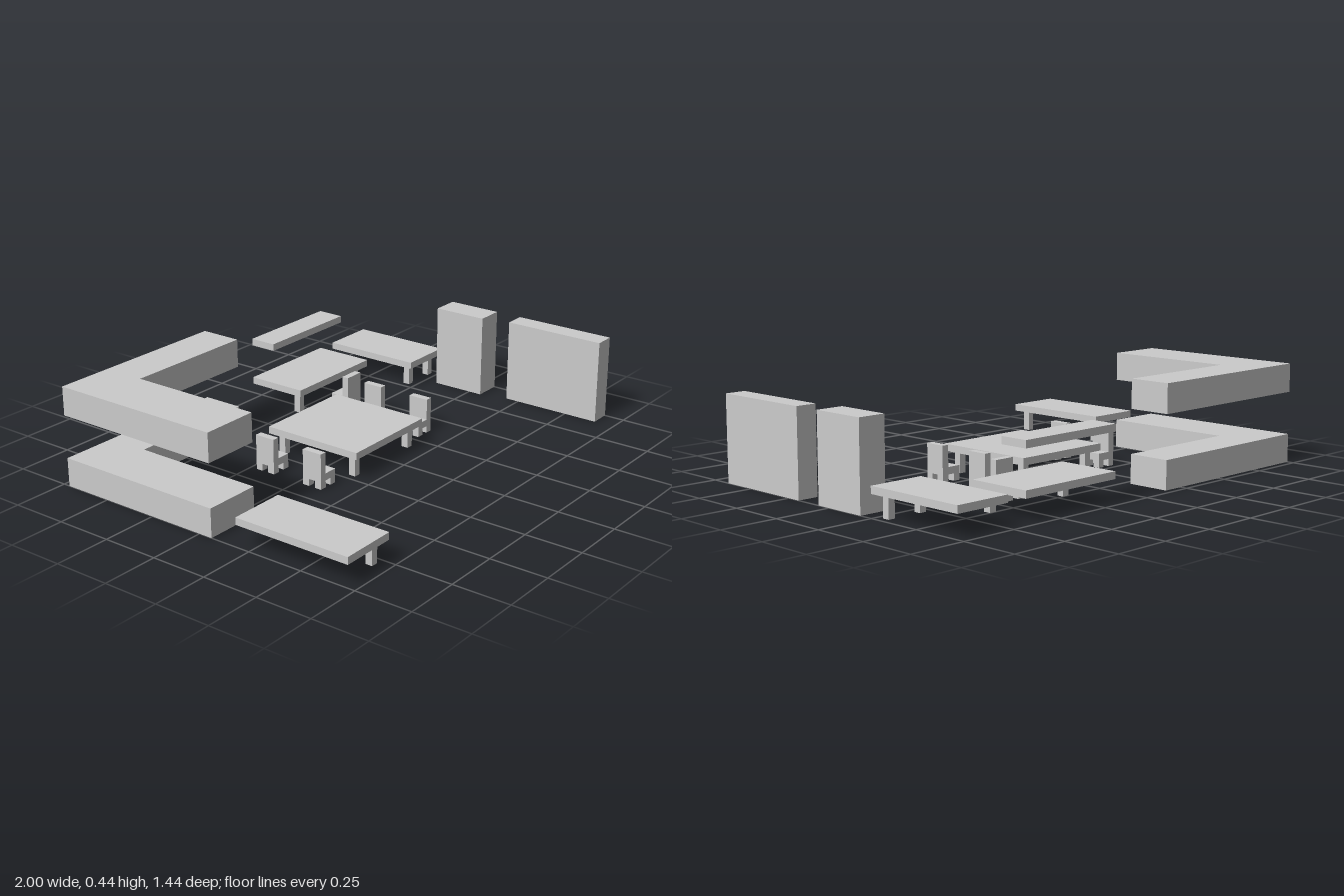
import * as THREE from 'three';

const U = 1 / 32; // module size: all parts sit on this grid
const material = new THREE.MeshStandardMaterial({ color: 0xcccccc, flatShading: true });

// Box between two grid corners
function box(name, [x0, y0, z0], [x1, y1, z1]) {
  const geometry = new THREE.BoxGeometry(x1 - x0, y1 - y0, z1 - z0);
  geometry.translate((x0 + x1) / 2, (y0 + y1) / 2, (z0 + z1) / 2);
  const mesh = new THREE.Mesh(geometry, material);
  mesh.name = name;
  return mesh;
}

// Thin top on one-module-square legs; legs lists the low x, z corner of each
function table(name, x0, x1, z0, z1, legs) {
  const group = new THREE.Group();
  group.name = name;
  group.add(box('tableTop', [x0, 3, z0], [x1, 4, z1]));
  for (const [x, z] of legs) group.add(box('tableLeg', [x, 0, z], [x + 1, 3, z + 1]));
  return group;
}

// Chair centred on x, z; its backrest is on -x before turning
function chair(x, z, turn) {
  const group = new THREE.Group();
  group.name = 'chair';
  group.add(box('seat', [-1.5, 1, -1.5], [1.5, 2, 1.5]));
  group.add(box('backrest', [-1.5, 2, -1.5], [-0.5, 5, 1.5]));
  for (const lx of [-1.5, 0.5])
    for (const lz of [-1.5, 0.5])
      group.add(box('chairLeg', [lx, 0, lz], [lx + 1, 1, lz + 1]));
  group.position.set(x, 0, z);
  group.rotation.y = turn;
  return group;
}

// L-shaped corner block, drawn in plan (x, -z) and extruded upwards
function cornerUnit(name, y0, y1) {
  const plan = [[-32, -2], [-24, -2], [-24, 17], [-5, 17], [-5, 23], [-32, 23]];
  const shape = new THREE.Shape(plan.map(([x, y]) => new THREE.Vector2(x, y)));
  const geometry = new THREE.ExtrudeGeometry(shape, { depth: y1 - y0, bevelEnabled: false });
  geometry.rotateX(-Math.PI / 2);
  geometry.translate(0, y0, 0);
  const mesh = new THREE.Mesh(geometry, material);
  mesh.name = name;
  return mesh;
}

export function createModel() {
  const model = new THREE.Group();
  model.name = 'furnishedRoom';

  // Kitchen corner: counter and wall cupboards
  model.add(cornerUnit('counter', 0, 4), cornerUnit('wallCupboard', 10, 14));

  // Dining table, and tables that rest against the walls
  model.add(
    table('diningTable', -8, 7, -9, 6, [[-7, -8], [5, -8], [-7, 4], [5, 4]]),
    table('sideTable', -32, -24, 6, 23, [[-26, 7], [-26, 21]]),
    table('desk', 5, 21, -23, -14, [[6, -16], [19, -16]]),
    table('cornerTable', 24, 32, -23, -8, [[25, -10], [30, -10]]),
  );

  // Shelf over the desk and two tall cabinets
  model.add(
    box('shelf', [5, 9, -23], [21, 10, -19]),
    box('deepCabinet', [28, 0, -6], [32, 12, 2]),
    box('wideCabinet', [29, 0, 6], [32, 12, 21]),
  );

  // Chairs on both sides of the dining table, one at the desk
  for (const z of [-5.5, 2.5]) {
    model.add(chair(-11.5, z, 0), chair(10.5, z, Math.PI));
  }
  model.add(chair(12.5, -11.5, Math.PI / 2));

  model.scale.setScalar(U);
  const root = new THREE.Group();
  root.add(model);
  return root;
}
